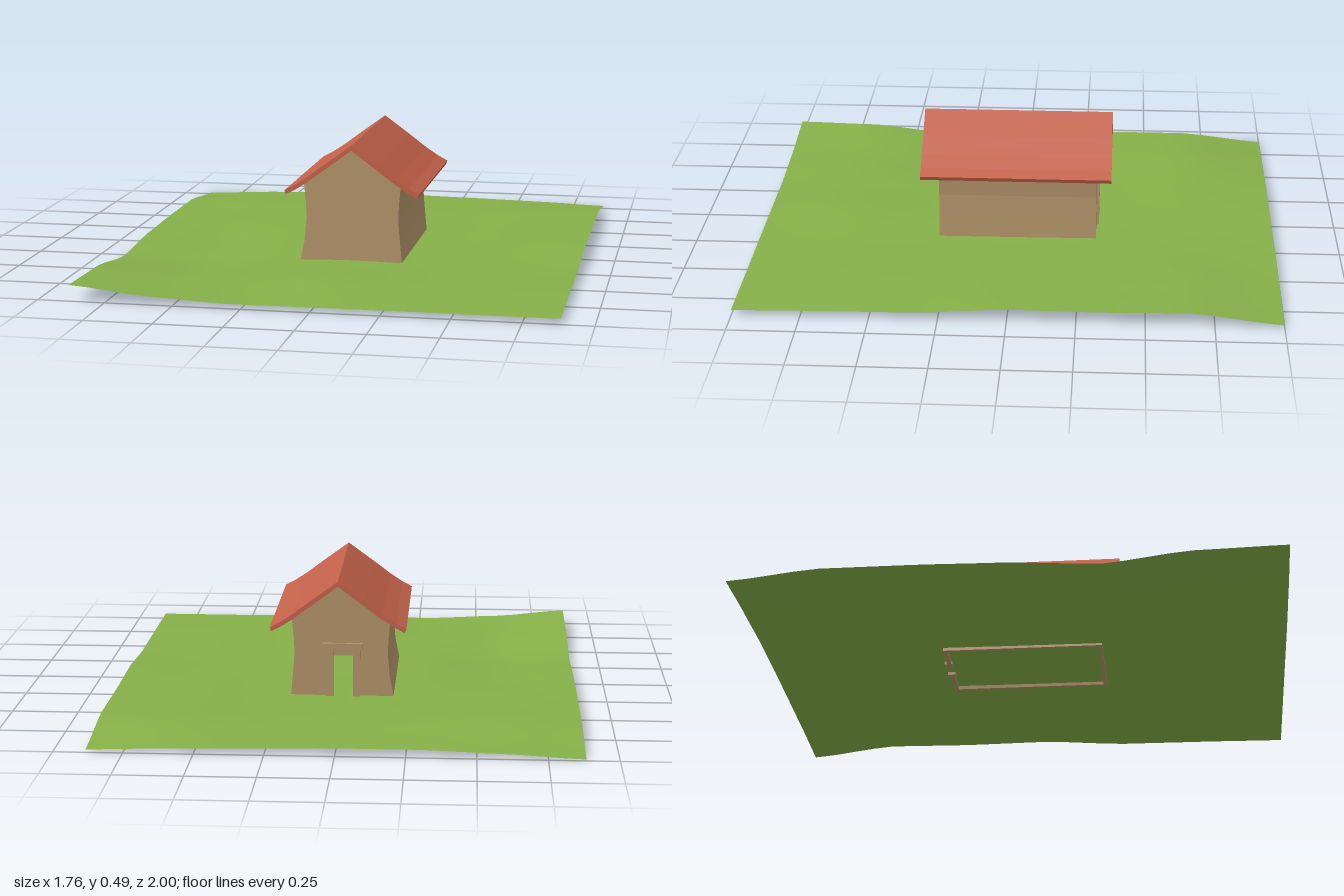
import * as THREE from 'three';

const grass = new THREE.MeshStandardMaterial({ name: 'grass green', color: 0x86b048, side: THREE.DoubleSide });
const plaster = new THREE.MeshStandardMaterial({ name: 'wall tan', color: 0xb3946a });
const tile = new THREE.MeshStandardMaterial({ name: 'roof red', color: 0xc4624a });

// Outline of each side wall, from the foot up to the eaves
const rightWall = [[-0.185, 0.02], [-0.168, 0.11], [-0.16, 0.2], [-0.163, 0.26], [-0.17, 0.335]];
const leftWall = [[0.212, 0.02], [0.203, 0.11], [0.196, 0.2], [0.199, 0.26], [0.206, 0.335]];
const apex = [0.026, 0.475];

// Extrudes a polygon in x, y from z0 to z1
function slab(name, points, z0, z1, material) {
  const shape = new THREE.Shape(points.map(([x, y]) => new THREE.Vector2(x, y)));
  const geometry = new THREE.ExtrudeGeometry(shape, { depth: z1 - z0, bevelEnabled: false });
  geometry.translate(0, 0, z0);
  const mesh = new THREE.Mesh(geometry, material);
  mesh.name = name;
  return mesh;
}

function box(name, x0, x1, y0, y1, z0, z1) {
  const mesh = new THREE.Mesh(new THREE.BoxGeometry(x1 - x0, y1 - y0, z1 - z0), plaster);
  mesh.position.set((x0 + x1) / 2, (y0 + y1) / 2, (z0 + z1) / 2);
  mesh.name = name;
  return mesh;
}

// Gently rolling sheet of grass; heights in hundredths, rows from back to front
function makeGround() {
  const heights = [
    [1.0, 2.5, 3.5, 3.5, 3.0, 2.5, 1.6],
    [4.5, 5.5, 4.5, 3.5, 3.5, 5.0, 5.5],
    [4.5, 4.0, 3.5, 3.2, 3.5, 4.5, 5.0],
    [4.0, 1.5, 3.0, 3.2, 3.2, 4.0, 5.3],
    [2.0, 0.5, 2.6, 3.4, 3.0, 3.5, 3.2],
    [5.8, 3.0, 3.0, 4.5, 3.2, 3.5, 3.0],
    [6.5, 3.6, 2.2, 2.4, 2.5, 2.5, 2.6],
  ];
  const cells = 24;
  const geometry = new THREE.PlaneGeometry(1.764, 2, cells, cells).rotateX(-Math.PI / 2);
  const position = geometry.attributes.position;
  const ease = (t) => 0.5 * t + 0.5 * t * t * (3 - 2 * t);
  for (let i = 0; i < position.count; i++) {
    const u = (position.getX(i) / 1.764 + 0.5) * 6;
    const v = (position.getZ(i) / 2 + 0.5) * 6;
    const c = Math.max(0, Math.min(5, Math.floor(u)));
    const r = Math.max(0, Math.min(5, Math.floor(v)));
    const s = ease(u - c);
    const near = THREE.MathUtils.lerp(heights[r][c], heights[r][c + 1], s);
    const far = THREE.MathUtils.lerp(heights[r + 1][c], heights[r + 1][c + 1], s);
    position.setY(i, THREE.MathUtils.lerp(near, far, ease(v - r)) / 100);
  }
  geometry.computeVertexNormals();
  const mesh = new THREE.Mesh(geometry, grass);
  mesh.name = 'ground';
  return mesh;
}

function makeWalls() {
  const walls = new THREE.Group();
  walls.name = 'walls';
  const top = [...leftWall, apex, ...[...rightWall].reverse()];
  walls.add(slab('frontGable', top, 0.285, 0.3, plaster));

  // Back gable with the doorway cut up from the foot
  const doorway = [[-0.03, 0.02], [-0.03, 0.215], [0.05, 0.215], [0.05, 0.02]];
  walls.add(slab('backGable', [...top, ...doorway], -0.31, -0.295, plaster));

  // Thin side walls following the same curve
  for (const [name, outline, inward] of [['rightSideWall', rightWall, 0.015], ['leftSideWall', leftWall, -0.015]]) {
    const inner = outline.map(([x, y]) => [x + inward, y]).reverse();
    walls.add(slab(name, [...outline, ...inner], -0.295, 0.285, plaster));
  }
  return walls;
}

function makeDoorFrame() {
  const frame = new THREE.Group();
  frame.name = 'doorFrame';
  frame.add(box('rightDoorPost', -0.055, -0.028, 0.02, 0.22, -0.32, -0.29));
  frame.add(box('leftDoorPost', 0.048, 0.075, 0.02, 0.22, -0.32, -0.29));
  frame.add(box('doorLintel', -0.065, 0.088, 0.215, 0.24, -0.322, -0.29));
  return frame;
}

// Each slope sags slightly and flattens at the eaves
function makeRoof() {
  const roof = new THREE.Group();
  roof.name = 'roof';
  for (const [name, side] of [['rightRoofSlope', -1], ['leftRoofSlope', 1]]) {
    const upper = [[0, 0.491], [0.1, 0.418], [0.17, 0.365], [0.22, 0.332], [0.259, 0.311]];
    const lower = [[0.253, 0.296], [0.213, 0.317], [0.163, 0.35], [0.095, 0.401], [0, 0.472]];
    const points = [...upper, ...lower].map(([x, y]) => [0.027 + side * x, y]);
    roof.add(slab(name, points, -0.367, 0.365, tile));
  }
  return roof;
}

export function createModel() {
  const model = new THREE.Group();
  model.name = 'house';
  model.add(makeGround(), makeWalls(), makeDoorFrame(), makeRoof());
  return model;
}
